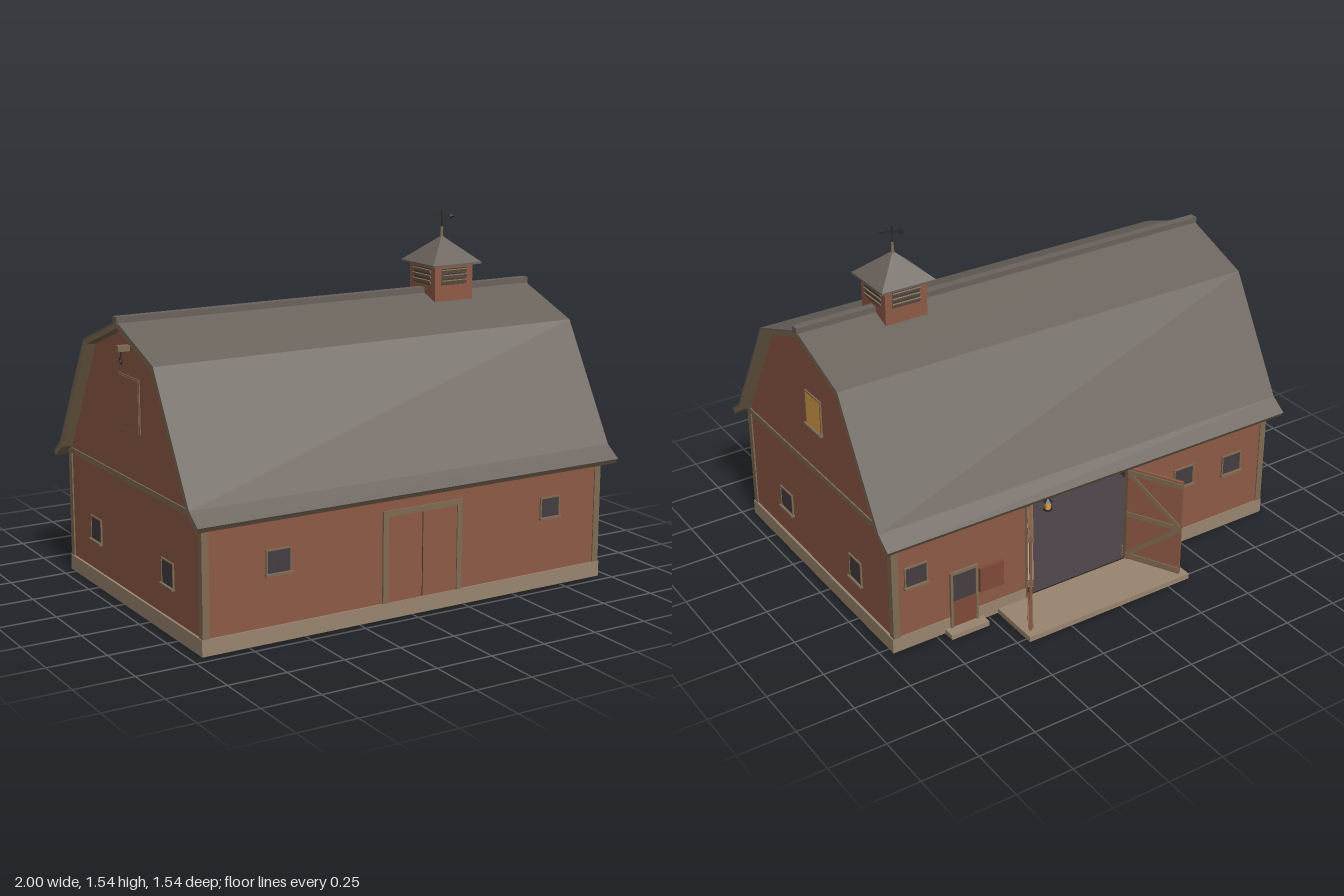
import * as THREE from 'three';

const mat = (color, side = THREE.FrontSide) =>
  new THREE.MeshStandardMaterial({ color, side, flatShading: true });
const RED = mat(0x8f5a45), DARKRED = mat(0x7f4a38), TRIM = mat(0x7f6b52), STONE = mat(0x9a8570),
  ROOF = mat(0x6b635c), GLASS = mat(0x453e42), GLOW = mat(0xe0a04a), IRON = mat(0x2b2827),
  FLOOR = mat(0x24221f), ROOM = mat(0x4a4146, THREE.BackSide);

const ZC = 0.085;            // depth position of the ridge
const FRONT = 0.705, BACK = -0.535, END = 0.945;

function add(parent, name, geo, material, x = 0, y = 0, z = 0) {
  const m = new THREE.Mesh(geo, material);
  m.name = name;
  m.position.set(x, y, z);
  parent.add(m);
  return m;
}

// box given by its limits
function span(parent, name, material, x0, x1, y0, y1, z0, z1) {
  return add(parent, name, new THREE.BoxGeometry(x1 - x0, y1 - y0, z1 - z0), material,
    (x0 + x1) / 2, (y0 + y1) / 2, (z0 + z1) / 2);
}

// straight board in the xy plane between two points
function board(parent, name, material, a, b, width, depth, z) {
  const dx = b[0] - a[0], dy = b[1] - a[1];
  const m = add(parent, name, new THREE.BoxGeometry(Math.hypot(dx, dy), width, depth), material,
    (a[0] + b[0]) / 2, (a[1] + b[1]) / 2, z);
  m.rotation.z = Math.atan2(dy, dx);
  return m;
}

function group(parent, name, x = 0, y = 0, z = 0, ry = 0) {
  const g = new THREE.Group();
  g.name = name;
  g.position.set(x, y, z);
  g.rotation.y = ry;
  parent.add(g);
  return g;
}

// half of the gambrel line from eave to ridge, sunk by t
const gambrel = t => [
  [0.685 - 0.58 * t, 0.53 - 0.81 * t], [0.615 - 0.75 * t, 0.58 - 0.7 * t],
  [0.33 - 0.65 * t, 1.075 - 0.78 * t], [0, 1.2 - 1.07 * t]];
const mirrored = half => [...half, ...half.slice(0, -1).reverse().map(([u, y]) => [-u, y])];

// cross-section pushed along x
function alongX(points, x0, x1) {
  const shape = new THREE.Shape(points.map(p => new THREE.Vector2(...p)));
  const geo = new THREE.ExtrudeGeometry(shape, { depth: x1 - x0, bevelEnabled: false });
  return geo.rotateY(Math.PI / 2).translate(x0, 0, ZC);
}

// framed pane facing local +z
function windowUnit(parent, name, x, y, z, ry, w, h, pane = GLASS) {
  const g = group(parent, name, x, y, z, ry);
  span(g, 'pane', pane, -w / 2, w / 2, -h / 2, h / 2, -0.01, 0.004);
  for (const s of [-1, 1])
    add(g, 'sideFrame', new THREE.BoxGeometry(0.006, h, 0.014), TRIM, s * w / 2, 0, 0);
  add(g, 'topFrame', new THREE.BoxGeometry(w + 0.006, 0.006, 0.014), TRIM, 0, h / 2, 0);
  add(g, 'sill', new THREE.BoxGeometry(w + 0.015, 0.009, 0.026), TRIM, 0, -h / 2 - 0.003, 0.003);
}

// plank leaf hinged at local x = 0, opening outwards
function barnLeaf(parent, name, x, ry, dir) {
  const g = group(parent, name, x, 0, BACK, ry);
  const w = 0.25, y0 = 0.03, y1 = 0.485, mid = (y0 + y1) / 2;
  add(g, 'leaf', new THREE.BoxGeometry(w, y1 - y0, 0.012), RED, dir * w / 2, mid, 0);
  for (const z of [-0.008, 0.008]) {
    for (const y of [y0 + 0.02, mid, y1 - 0.02])
      board(g, 'rail', TRIM, [0, y], [dir * w, y], 0.022, 0.006, z);
    board(g, 'brace', TRIM, [dir * 0.01, y0 + 0.03], [dir * (w - 0.01), mid - 0.01], 0.018, 0.005, z);
    board(g, 'brace', TRIM, [dir * (w - 0.01), mid + 0.01], [dir * 0.01, y1 - 0.03], 0.018, 0.005, z);
  }
}

export function createModel() {
  const barn = new THREE.Group();
  barn.name = 'barn';

  // foundation ring with a gap at the big doorway
  const base = group(barn, 'foundation');
  const L = -0.205, R = 0.295, TOP = 0.49;
  span(base, 'floor', FLOOR, -0.952, 0.952, 0, 0.02, -0.537, 0.709);
  span(base, 'frontFooting', STONE, -0.955, 0.955, 0.003, 0.07, 0.66, 0.712);
  for (const s of [-1, 1])
    add(base, 'endFooting', new THREE.BoxGeometry(0.05, 0.067, 1.25), STONE, s * 0.93, 0.0365, 0.086);
  span(base, 'backFooting', STONE, -0.955, L, 0.003, 0.07, -0.539, -0.50);
  span(base, 'backFooting', STONE, R, 0.955, 0.003, 0.07, -0.539, -0.50);
  span(base, 'doorPlatform', STONE, -0.36, 0.455, 0, 0.024, -0.775, -0.53);

  // long walls and gable ends
  const walls = group(barn, 'walls');
  span(walls, 'frontWall', RED, -END, END, 0.07, 0.555, FRONT - 0.025, FRONT);
  span(walls, 'backWall', RED, -END, L, 0.07, 0.555, BACK, BACK + 0.025);
  span(walls, 'backWall', RED, R, END, 0.07, 0.555, BACK, BACK + 0.025);
  span(walls, 'backLintel', RED, L, R, TOP, 0.555, BACK, BACK + 0.025);
  const inner = gambrel(0.02);
  const gable = mirrored([[0.62, 0.07], [0.62, 0.55], inner[2], inner[3]]);
  add(walls, 'leftGable', alongX(gable, END - 0.025, END), RED);
  add(walls, 'rightGable', alongX(gable, -END, -END + 0.025), RED);
  span(walls, 'interior', ROOM, -0.6, 0.6, 0.021, 0.53, BACK + 0.015, 0.5);

  // corner boards and gable bands
  const trim = group(barn, 'trim');
  for (const s of [-1, 1]) {
    for (const z of [FRONT - 0.01, BACK + 0.01])
      add(trim, 'cornerBoard', new THREE.BoxGeometry(0.03, 0.485, 0.03), TRIM, s * (END - 0.009), 0.312, z);
    add(trim, 'gableBand', new THREE.BoxGeometry(0.012, 0.024, 1.24), TRIM, s * END, 0.542, ZC);
  }

  // gambrel roof: boarding, shingle skin and ridge cap
  const roof = group(barn, 'roof');
  const strip = (a, b) => [...mirrored(gambrel(a)), ...mirrored(gambrel(b)).reverse()];
  add(roof, 'roofBoards', alongX(strip(0.005, 0.027), -0.993, 0.993), TRIM);
  add(roof, 'shingles', alongX(strip(0, 0.006), -0.995, 0.995), ROOF);
  span(roof, 'ridgeCap', ROOF, -1, 1, 1.19, 1.218, ZC - 0.018, ZC + 0.018);

  // closed double door on the front
  const door = group(barn, 'frontDoor');
  for (const x of [-0.133, 0.223])
    span(door, 'jamb', TRIM, x - 0.012, x + 0.012, 0.07, 0.43, FRONT - 0.005, FRONT + 0.008);
  span(door, 'header', TRIM, -0.145, 0.235, 0.428, 0.453, FRONT - 0.005, FRONT + 0.008);
  span(door, 'leaf', RED, -0.121, 0.043, 0.07, 0.428, FRONT - 0.005, FRONT + 0.003);
  span(door, 'leaf', RED, 0.047, 0.211, 0.07, 0.428, FRONT - 0.005, FRONT + 0.003);
  span(door, 'gap', IRON, 0.043, 0.047, 0.07, 0.428, FRONT - 0.005, FRONT + 0.001);

  // open double door on the back
  const back = group(barn, 'backDoor');
  for (const x of [L - 0.01, R + 0.01])
    span(back, 'jamb', TRIM, x - 0.012, x + 0.012, 0.025, TOP, BACK - 0.008, BACK + 0.02);
  span(back, 'header', TRIM, L - 0.022, R + 0.022, TOP - 0.005, TOP + 0.02, BACK - 0.008, BACK + 0.02);
  barnLeaf(back, 'rightLeaf', L, -Math.PI + Math.atan2(0.225, -0.12) + Math.PI, -1);
  back.getObjectByName('rightLeaf').rotation.y = -Math.atan2(0.225, 0.118);
  barnLeaf(back, 'leftLeaf', R, Math.atan2(0.215, 0.14), 1);

  // hanging lantern in the doorway
  const lantern = group(barn, 'lantern', 0.17, 0.4, -0.48);
  add(lantern, 'lamp', new THREE.CylinderGeometry(0.014, 0.014, 0.034, 6), GLOW);
  add(lantern, 'lampCap', new THREE.ConeGeometry(0.022, 0.018, 6), IRON, 0, 0.026, 0);
  add(lantern, 'lampBase', new THREE.CylinderGeometry(0.019, 0.019, 0.007, 6), IRON, 0, -0.02, 0);
  add(lantern, 'hanger', new THREE.CylinderGeometry(0.003, 0.003, 0.1, 5), IRON, 0, 0.08, 0);

  // split side door on the back with its upper half swung open
  const split = group(barn, 'splitDoor');
  span(split, 'lowerHalf', DARKRED, 0.565, 0.675, 0.025, 0.145, BACK - 0.01, BACK);
  span(split, 'opening', GLASS, 0.565, 0.675, 0.145, 0.275, BACK - 0.006, BACK);
  for (const x of [0.56, 0.68])
    span(split, 'jamb', TRIM, x - 0.006, x + 0.006, 0.02, 0.285, BACK - 0.012, BACK);
  span(split, 'header', TRIM, 0.554, 0.686, 0.275, 0.287, BACK - 0.012, BACK);
  span(split, 'upperHalf', DARKRED, 0.435, 0.55, 0.15, 0.265, BACK - 0.02, BACK - 0.003);
  span(split, 'step', STONE, 0.53, 0.71, 0, 0.022, -0.59, BACK);

  // windows on all four sides
  const wins = group(barn, 'windows');
  windowUnit(wins, 'frontWindow', -0.62, 0.33, FRONT, 0, 0.105, 0.095);
  windowUnit(wins, 'frontWindow', 0.685, 0.35, FRONT, 0, 0.095, 0.085);
  for (const [x, y] of [[0.84, 0.34], [-0.5, 0.34], [-0.765, 0.32]])
    windowUnit(wins, 'backWindow', x, y, BACK, Math.PI, 0.1, 0.09);
  windowUnit(wins, 'leftWindow', END, 0.243, 0.375, Math.PI / 2, 0.105, 0.095);
  windowUnit(wins, 'leftWindow', END, 0.23, -0.232, Math.PI / 2, 0.095, 0.105);
  windowUnit(wins, 'loftWindow', END, 0.825, 0.065, Math.PI / 2, 0.128, 0.15, GLOW);
  for (const z of [0.41, -0.27])
    windowUnit(wins, 'rightWindow', -END, 0.25, z, -Math.PI / 2, 0.1, 0.1);

  // hay door and hoist on the right gable
  const hay = group(barn, 'hayDoor', -END, 0.865, 0.09, -Math.PI / 2);
  add(hay, 'frame', new THREE.BoxGeometry(0.192, 0.222, 0.008), TRIM);
  add(hay, 'leaf', new THREE.BoxGeometry(0.178, 0.208, 0.014), RED);
  add(hay, 'hoistBeam', new THREE.BoxGeometry(0.024, 0.024, 0.07), TRIM, 0, 0.225, 0.015);
  add(hay, 'hoistRope', new THREE.CylinderGeometry(0.003, 0.003, 0.03, 5), IRON, 0, 0.2, 0.035);
  add(hay, 'hoistHook', new THREE.TorusGeometry(0.012, 0.003, 5, 10), IRON, 0, 0.176, 0.035);

  // cupola with louvres, pyramid roof and weather vane
  const cupola = group(barn, 'cupola', 0.545, 0, ZC);
  add(cupola, 'cupolaBox', new THREE.BoxGeometry(0.194, 0.2, 0.194), RED, 0, 1.22, 0);
  for (let i = 0; i < 4; i++) {
    const side = group(cupola, 'louvre', 0, 0, 0, i * Math.PI / 2);
    add(side, 'louvreBack', new THREE.BoxGeometry(0.126, 0.07, 0.004), GLASS, 0, 1.268, 0.097);
    for (const y of [1.245, 1.268, 1.291])
      add(side, 'slat', new THREE.BoxGeometry(0.13, 0.016, 0.006), TRIM, 0, y, 0.1).rotation.x = 0.5;
  }
  const cap = new THREE.ConeGeometry(0.125 * Math.SQRT2, 0.11, 4).rotateY(Math.PI / 4);
  add(cupola, 'cupolaRoof', cap, ROOF, 0, 1.378, 0);
  add(cupola, 'cupolaEave', new THREE.BoxGeometry(0.25, 0.008, 0.25), ROOF, 0, 1.32, 0);
  add(cupola, 'finial', new THREE.CylinderGeometry(0.005, 0.008, 0.05, 8), TRIM, 0, 1.447, 0);
  add(cupola, 'vanePole', new THREE.CylinderGeometry(0.003, 0.003, 0.08, 6), IRON, 0, 1.502, 0);
  const vane = group(cupola, 'weatherVane', 0, 1.516, 0, -0.55);
  add(vane, 'arrow', new THREE.BoxGeometry(0.09, 0.007, 0.004), IRON);
  add(vane, 'arrowTail', new THREE.BoxGeometry(0.02, 0.022, 0.004), IRON, -0.035, 0, 0);
  add(vane, 'arrowHead', new THREE.ConeGeometry(0.011, 0.02, 4).rotateZ(-Math.PI / 2), IRON, 0.045, 0, 0);

  return barn;
}
